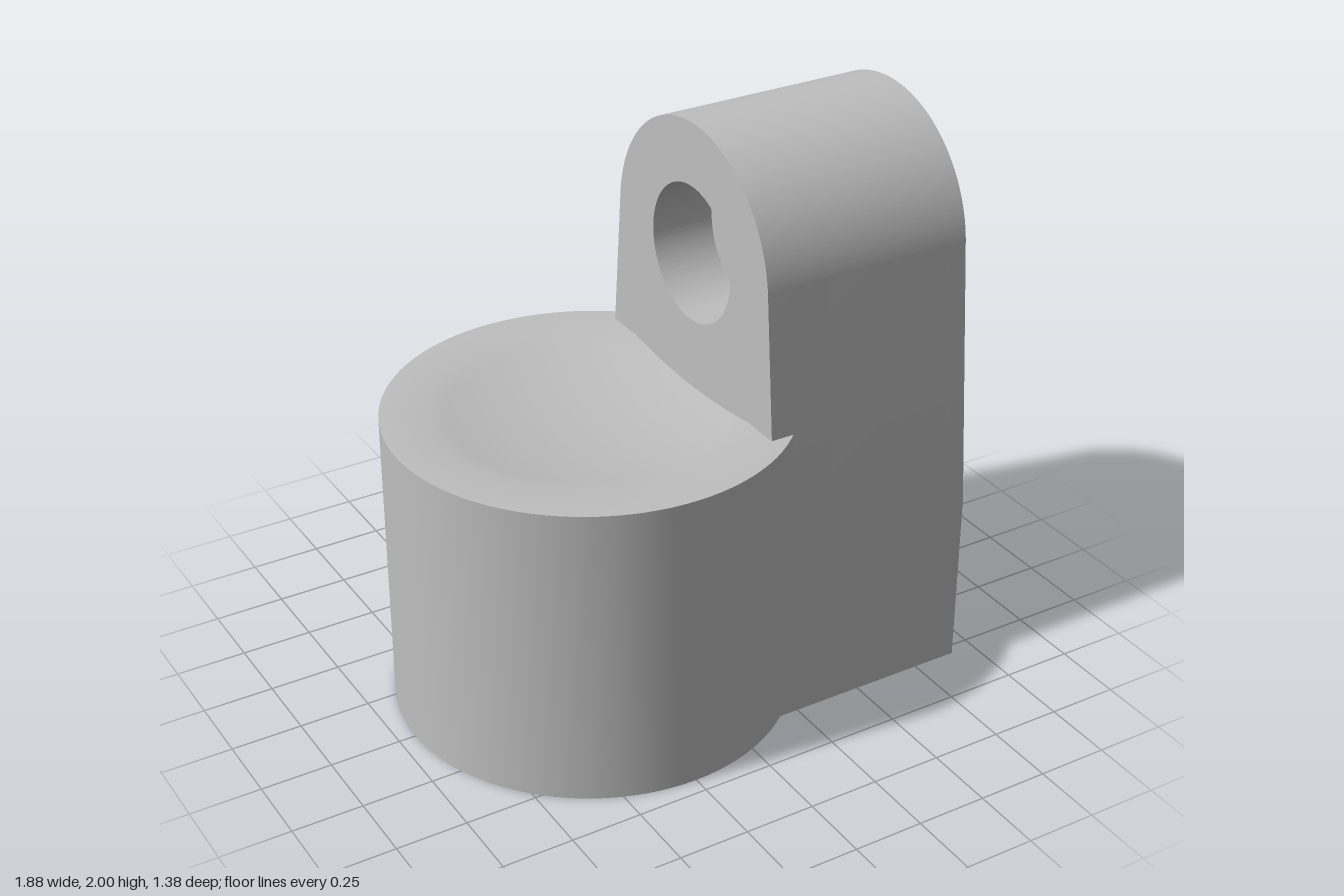
import * as THREE from 'three';
import { toCreasedNormals } from 'three/addons/utils/BufferGeometryUtils.js';

const V = (x, y) => new THREE.Vector2(x, y);

export function createModel() {
  const group = new THREE.Group();
  const grey = new THREE.MeshStandardMaterial({ color: 0xbfbfbf });
  grey.name = 'plain grey';

  const add = (name, geometry, parent = group) => {
    const mesh = new THREE.Mesh(geometry, grey);
    mesh.name = name;
    parent.add(mesh);
    return mesh;
  };

  // Round base: domed hole underneath, shallow dish on top
  const R = 0.69, H = 1.08, holeR = 0.15, dishR = 0.53, dishDepth = 0.06;
  const profile = [];
  for (let i = 0; i <= 6; i++) {
    const a = (i / 6) * Math.PI / 2;
    profile.push(V(holeR * Math.sin(a), 0.08 + 0.08 * Math.cos(a)));
  }
  profile.push(V(holeR, 0), V(R, 0), V(R, H));
  for (let i = 8; i >= 0; i--) {
    const t = i / 8;
    profile.push(V(dishR * t, H - dishDepth * (1 - t * t)));
  }
  const base = add('roundBase', toCreasedNormals(new THREE.LatheGeometry(profile, 96), 0.5));
  base.position.x = -0.25;

  // Upright: tapered, round-topped plate made of slices with different bores
  const upright = new THREE.Group();
  upright.name = 'upright';
  group.add(upright);
  const eyeY = 1.54, socketY = 0.62, topR = 0.46, tilt = 0.088;

  const circle = (Type, y, r) => new Type().absarc(0, y, r, 0, Math.PI * 2, false);
  const outline = () => {
    const s = new THREE.Shape();
    s.moveTo(-0.54, 0);
    s.lineTo(0.54, 0);
    s.lineTo(0.54, 0.64);
    s.absarc(0, eyeY, topR, tilt, Math.PI - tilt, false);
    s.lineTo(-0.54, 0.64);
    s.closePath();
    return s;
  };
  const slice = (name, shape, holes, x0, x1) => {
    shape.holes = holes.map(([y, r]) => circle(THREE.Path, y, r));
    const g = new THREE.ExtrudeGeometry(shape, { depth: x1 - x0, bevelEnabled: false, curveSegments: 96 });
    g.rotateY(Math.PI / 2).translate(x0, 0, 0);
    add(name, toCreasedNormals(g, 0.075), upright);
  };
  slice('uprightInnerSlice', outline(), [[eyeY, 0.24]], 0.14, 0.37);
  slice('uprightMiddleSlice', outline(), [[eyeY, 0.133], [socketY, 0.063]], 0.37, 0.83);
  slice('uprightOuterSlice', outline(), [[eyeY, 0.133], [socketY, 0.248]], 0.83, 0.91);

  // Hollow boss standing in the round recess
  slice('recessBoss', circle(THREE.Shape, socketY, 0.115), [[socketY, 0.063]], 0.83, 0.91);

  // Concave end of the boss hole
  const cup = [];
  for (let i = 0; i <= 8; i++) {
    const a = (i / 8) * Math.PI / 2;
    cup.push(V(0.064 * Math.cos(a), -0.064 * Math.sin(a)));
  }
  const cupEnd = add('bossHoleEnd', new THREE.LatheGeometry(cup, 48).rotateZ(-Math.PI / 2), upright);
  cupEnd.position.set(0.78, socketY, 0);

  // Small round stud on the outer face
  const stud = add('stud', new THREE.SphereGeometry(0.063, 32, 24), upright);
  stud.scale.x = 0.55;
  stud.position.set(0.905, H, 0);

  return group;
}
